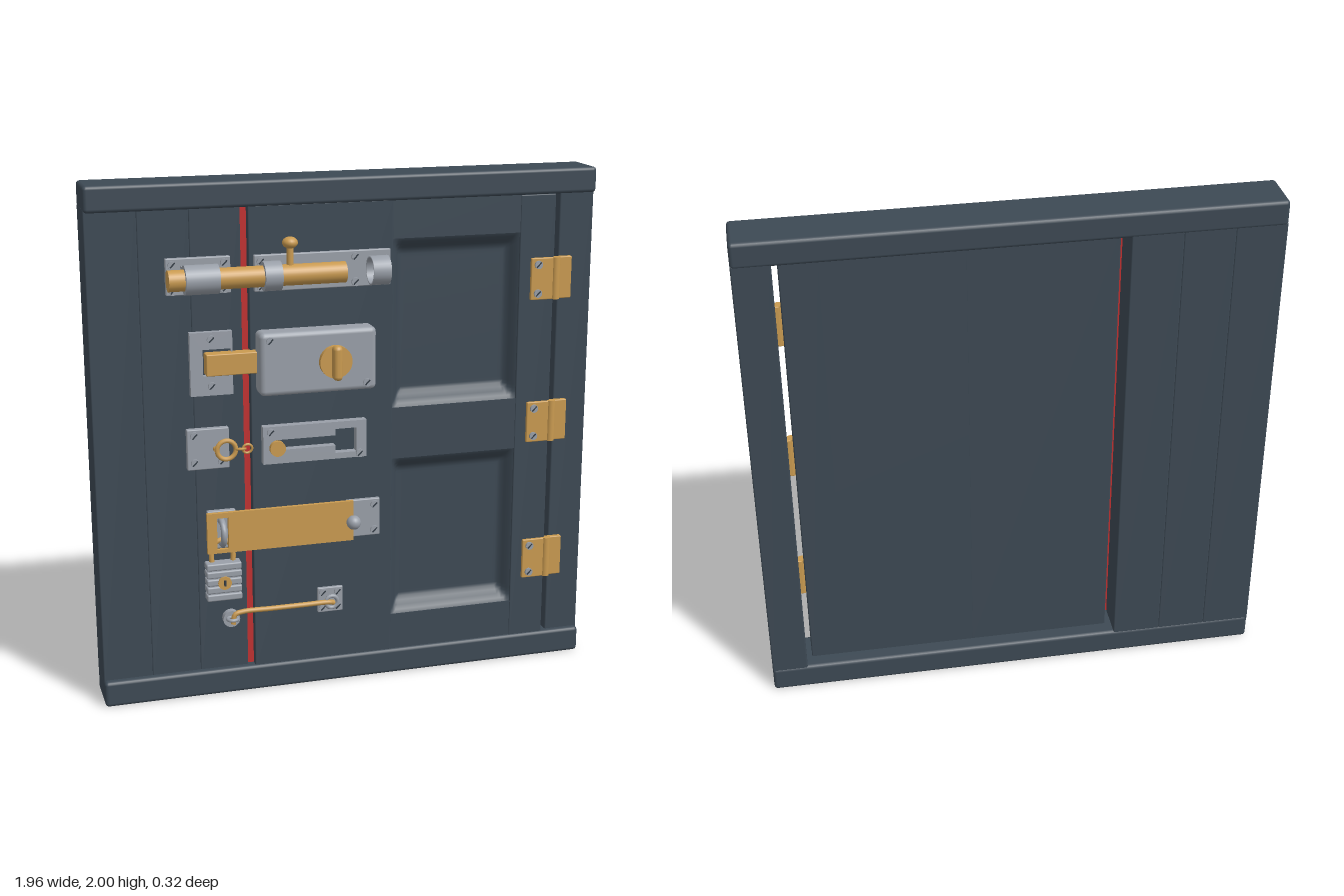
import * as THREE from 'three';
import { RoundedBoxGeometry } from 'three/addons/geometries/RoundedBoxGeometry.js';

const mat = (name, color) => Object.assign(new THREE.MeshStandardMaterial({ color }), { name });

export function createModel() {
  const slate = mat('slate paint', 0x3d4954);
  const steel = mat('steel', 0x999fa8);
  const brass = mat('brass', 0xc99a50);
  const red = mat('red edge', 0xc03030);
  const dark = mat('screw slot', 0x343d46);
  const root = new THREE.Group();

  const group = (name) => {
    const g = new THREE.Group();
    g.name = name;
    root.add(g);
    return g;
  };
  const add = (parent, name, geo, m, x = 0, y = 0, z = 0) => {
    const mesh = new THREE.Mesh(geo, m);
    mesh.name = name;
    mesh.position.set(x, y, z);
    parent.add(mesh);
    return mesh;
  };
  // Box given by its limits, with softened edges when r > 0
  const box = (p, name, m, x0, x1, y0, y1, z0, z1, r = 0) => {
    const s = [x1 - x0, y1 - y0, z1 - z0];
    const geo = r ? new RoundedBoxGeometry(...s, 2, r) : new THREE.BoxGeometry(...s);
    return add(p, name, geo, m, (x0 + x1) / 2, (y0 + y1) / 2, (z0 + z1) / 2);
  };
  // Cylinder along a chosen axis
  const rod = (p, name, m, r, len, axis, x, y, z, seg = 24) => {
    const geo = new THREE.CylinderGeometry(r, r, len, seg);
    if (axis === 'x') geo.rotateZ(Math.PI / 2);
    if (axis === 'z') geo.rotateX(Math.PI / 2);
    return add(p, name, geo, m, x, y, z);
  };
  // Slotted screw standing on a surface at height z
  const screw = (p, x, y, z) => {
    rod(p, 'screw', steel, 0.016, 0.016, 'z', x, y, z, 16);
    const slot = add(p, 'screwSlot', new THREE.BoxGeometry(0.026, 0.005, 0.003), dark, x, y, z + 0.008);
    slot.rotation.z = 0.8;
  };
  const poly = (pts) => pts.map(([x, y]) => new THREE.Vector2(x, y));
  // Flat plate with a cut-out
  const cutPlate = (p, name, m, outer, hole, z0, z1) => {
    const s = new THREE.Shape(poly(outer));
    s.holes.push(new THREE.Path(poly(hole)));
    const geo = new THREE.ExtrudeGeometry(s, { depth: z1 - z0, bevelEnabled: false });
    return add(p, name, geo, m, 0, 0, z0);
  };
  const rect = (x0, x1, y0, y1) => [[x0, y0], [x1, y0], [x1, y1], [x0, y1]];
  const tube = (p, name, m, r, pts) => {
    const curve = new THREE.CatmullRomCurve3(pts.map((v) => new THREE.Vector3(...v)));
    return add(p, name, new THREE.TubeGeometry(curve, 32, r, 10), m);
  };

  // Frame: beams, plank wall and hinge post
  const frame = group('frame');
  box(frame, 'topBeam', slate, -0.98, 0.98, 1.903, 2, -0.16, 0.028, 0.014);
  box(frame, 'bottomBeam', slate, -0.98, 0.98, 0, 0.102, -0.16, 0.028, 0.014);
  for (const x of [-0.98, -0.791, -0.602])
    box(frame, 'plank', slate, x, x + 0.19, 0.09, 1.915, -0.157, 0.001, 0.005);
  box(frame, 'hingePost', slate, 0.841, 0.98, 0.09, 1.915, -0.157, 0.004, 0.006);
  box(frame, 'redEdge', red, -0.413, -0.384, 0.1, 1.905, -0.02, -0.012);

  // Door: stiles and rails around two sunken panels
  const door = group('door');
  const F = 0.018, B = -0.1;
  box(door, 'lockStile', slate, -0.387, 0.168, 0.098, 1.907, B, F, 0.004);
  box(door, 'hingeStile', slate, 0.676, 0.819, 0.098, 1.903, B, F, 0.004);
  for (const [y0, y1] of [[0.098, 0.25], [0.9, 1.105], [1.76, 1.907]])
    box(door, 'rail', slate, 0.165, 0.68, y0, y1, B, F - 0.002);
  for (const [y0, y1] of [[0.25, 0.9], [1.105, 1.76]]) {
    box(door, 'panelBack', slate, 0.165, 0.68, y0, y1, B, -0.045);
    // Panel face dips smoothly from its border to a flat floor
    const w = 0.512, h = y1 - y0;
    const face = new THREE.PlaneGeometry(w, h, 40, 48);
    const p = face.attributes.position;
    for (let i = 0; i < p.count; i++) {
      const x = THREE.MathUtils.smoothstep(w / 2 - Math.abs(p.getX(i)), 0, 0.045);
      const y = THREE.MathUtils.smoothstep(h / 2 - Math.abs(p.getY(i)), 0, 0.06);
      p.setZ(i, -0.05 * Math.min(x, y));
    }
    face.computeVertexNormals();
    add(door, 'panelFace', face, slate, 0.4225, (y0 + y1) / 2, F - 0.004);
  }

  // Hinges
  for (const y of [0.43, 1.005, 1.578]) {
    const h = group('hinge');
    box(h, 'doorLeaf', brass, 0.722, 0.825, y - 0.082, y + 0.082, 0.005, 0.029, 0.004);
    box(h, 'postLeaf', brass, 0.825, 0.892, y - 0.082, y + 0.082, 0, 0.022, 0.004);
    rod(h, 'knuckle', brass, 0.017, 0.164, 'y', 0.826, y, 0.02);
    for (const d of [-0.056, 0.056]) screw(h, 0.75, y + d, 0.029);
  }

  // Sliding bolt
  const bolt = group('slideBolt');
  box(bolt, 'keeperPlate', steel, -0.695, -0.455, 1.592, 1.728, 0, 0.022, 0.004);
  box(bolt, 'boltPlate', steel, -0.37, 0.152, 1.592, 1.728, 0.016, 0.036, 0.004);
  rod(bolt, 'boltBar', brass, 0.039, 0.66, 'x', -0.37, 1.66, 0.088, 32);
  rod(bolt, 'keeperSleeve', steel, 0.054, 0.125, 'x', -0.578, 1.66, 0.088, 32);
  box(bolt, 'keeperFoot', steel, -0.64, -0.516, 1.62, 1.7, 0.015, 0.06);
  rod(bolt, 'guideSleeve', steel, 0.054, 0.065, 'x', -0.318, 1.66, 0.088, 32);
  const ring = new THREE.LatheGeometry(
    poly([[0.046, -0.034], [0.054, -0.034], [0.054, 0.034], [0.046, 0.034], [0.046, -0.034]]), 32);
  ring.rotateZ(Math.PI / 2);
  add(bolt, 'openSleeve', ring, steel, 0.09, 1.66, 0.088);
  rod(bolt, 'handleStem', brass, 0.013, 0.09, 'y', -0.248, 1.73, 0.088);
  add(bolt, 'handleKnob', new THREE.SphereGeometry(0.029, 20, 14), brass, -0.248, 1.778, 0.088).scale.y = 0.75;
  for (const x of [-0.67, -0.478]) for (const y of [1.61, 1.705]) screw(bolt, x, y, 0.022);
  for (const [x, y] of [[-0.345, 1.61], [-0.345, 1.705], [0.015, 1.61], [0.015, 1.705]])
    screw(bolt, x, y, 0.036);

  // Rim lock with strike plate and turn knob
  const lock = group('rimLock');
  cutPlate(lock, 'strikePlate', steel, rect(-0.615, -0.455, 1.21, 1.45),
    rect(-0.567, -0.46, 1.285, 1.385), 0, 0.026);
  box(lock, 'latch', brass, -0.56, -0.365, 1.29, 1.372, 0.004, 0.056, 0.004);
  box(lock, 'lockBody', steel, -0.37, 0.078, 1.21, 1.45, 0.016, 0.108, 0.02);
  rod(lock, 'knobDisc', brass, 0.062, 0.022, 'z', -0.085, 1.33, 0.117, 32);
  box(lock, 'knobGrip', brass, -0.103, -0.067, 1.264, 1.396, 0.115, 0.163, 0.016);
  for (const y of [1.245, 1.422]) screw(lock, -0.535, y, 0.026);
  for (const [x, y] of [[-0.33, 1.42], [0.04, 1.24]]) screw(lock, x, y, 0.106);

  // Chain latch with keyhole-shaped track
  const chain = group('chainLatch');
  box(chain, 'anchorPlate', steel, -0.635, -0.475, 0.925, 1.083, 0, 0.027, 0.004);
  for (const [x, y] of [[-0.607, 1.058], [-0.607, 0.953], [-0.503, 0.953]]) screw(chain, x, y, 0.027);
  rod(chain, 'anchorStem', brass, 0.01, 0.035, 'z', -0.528, 1.004, 0.04);
  add(chain, 'anchorRing', new THREE.TorusGeometry(0.036, 0.009, 10, 28), brass, -0.492, 1.004, 0.055);
  for (let i = 0; i < 2; i++) {
    const link = add(chain, 'chainLink', new THREE.TorusGeometry(0.018, 0.005, 8, 18), brass,
      -0.438 + i * 0.026, 1.003, 0.055);
    link.rotation.x = i ? 0.2 : 1.3;
  }
  cutPlate(chain, 'trackPlate', steel, rect(-0.35, 0.055, 0.932, 1.078),
    [[-0.3, 0.985], [-0.068, 0.985], [-0.068, 0.955], [0.014, 0.955],
      [0.014, 1.05], [-0.068, 1.05], [-0.068, 1.025], [-0.3, 1.025]], 0.016, 0.052);
  rod(chain, 'sliderStem', brass, 0.012, 0.07, 'z', -0.305, 1.005, 0.055);
  rod(chain, 'sliderKnob', brass, 0.03, 0.018, 'z', -0.305, 1.005, 0.094);
  for (const [x, y] of [[-0.32, 1.056], [0.028, 0.948]]) screw(chain, x, y, 0.052);

  // Hasp, staple and padlock
  const hasp = group('hasp');
  box(hasp, 'staplePlate', steel, -0.565, -0.455, 0.605, 0.755, 0, 0.024, 0.004);
  box(hasp, 'haspPlate', steel, -0.02, 0.115, 0.602, 0.752, 0.016, 0.036, 0.004);
  cutPlate(hasp, 'haspStrap', brass, rect(-0.575, 0, 0.6, 0.76), rect(-0.537, -0.493, 0.615, 0.74), 0.05, 0.066);
  const staple = add(hasp, 'staple', new THREE.TorusGeometry(0.046, 0.012, 10, 24), steel, -0.515, 0.677, 0.045);
  staple.rotation.y = Math.PI / 2;
  rod(hasp, 'pivotStem', steel, 0.016, 0.06, 'z', -0.004, 0.677, 0.05);
  add(hasp, 'pivotKnob', new THREE.SphereGeometry(0.028, 20, 14), steel, -0.004, 0.677, 0.08);
  for (const y of [0.625, 0.728]) screw(hasp, 0.092, y, 0.036);

  const padlock = group('padlock');
  for (let i = 0; i < 5; i++)
    box(padlock, 'bodyLayer', steel, -0.583, -0.447, 0.411 + i * 0.031, 0.438 + i * 0.031, 0.028, 0.08, 0.006);
  box(padlock, 'bodyCore', steel, -0.575, -0.455, 0.415, 0.558, 0.034, 0.073);
  tube(padlock, 'shackle', brass, 0.01, [[-0.556, 0.55, 0.045], [-0.556, 0.6, 0.042],
    [-0.54, 0.635, 0.04], [-0.515, 0.645, 0.04], [-0.49, 0.635, 0.04],
    [-0.474, 0.6, 0.042], [-0.474, 0.55, 0.045]]);
  rod(padlock, 'keyDisc', brass, 0.026, 0.008, 'z', -0.515, 0.484, 0.082);
  box(padlock, 'keySlot', dark, -0.519, -0.511, 0.472, 0.497, 0.084, 0.088);

  // Hook and eye
  const hook = group('hookAndEye');
  box(hook, 'hookPlate', steel, -0.136, -0.034, 0.298, 0.4, 0.016, 0.032, 0.004);
  for (const x of [-0.115, -0.055]) for (const y of [0.318, 0.38]) screw(hook, x, y, 0.03);
  add(hook, 'hookRing', new THREE.TorusGeometry(0.024, 0.008, 8, 20), steel, -0.085, 0.346, 0.05);
  tube(hook, 'hookRod', brass, 0.01, [[-0.075, 0.34, 0.045], [-0.095, 0.347, 0.052], [-0.2, 0.347, 0.052],
    [-0.33, 0.347, 0.052], [-0.44, 0.347, 0.052], [-0.472, 0.338, 0.052], [-0.48, 0.3, 0.052]]);
  rod(hook, 'eyeBase', steel, 0.033, 0.03, 'z', -0.48, 0.31, 0.013);
  const eye = add(hook, 'eye', new THREE.TorusGeometry(0.02, 0.007, 8, 20), steel, -0.48, 0.318, 0.045);
  eye.rotation.x = Math.PI / 2;

  return root;
}
